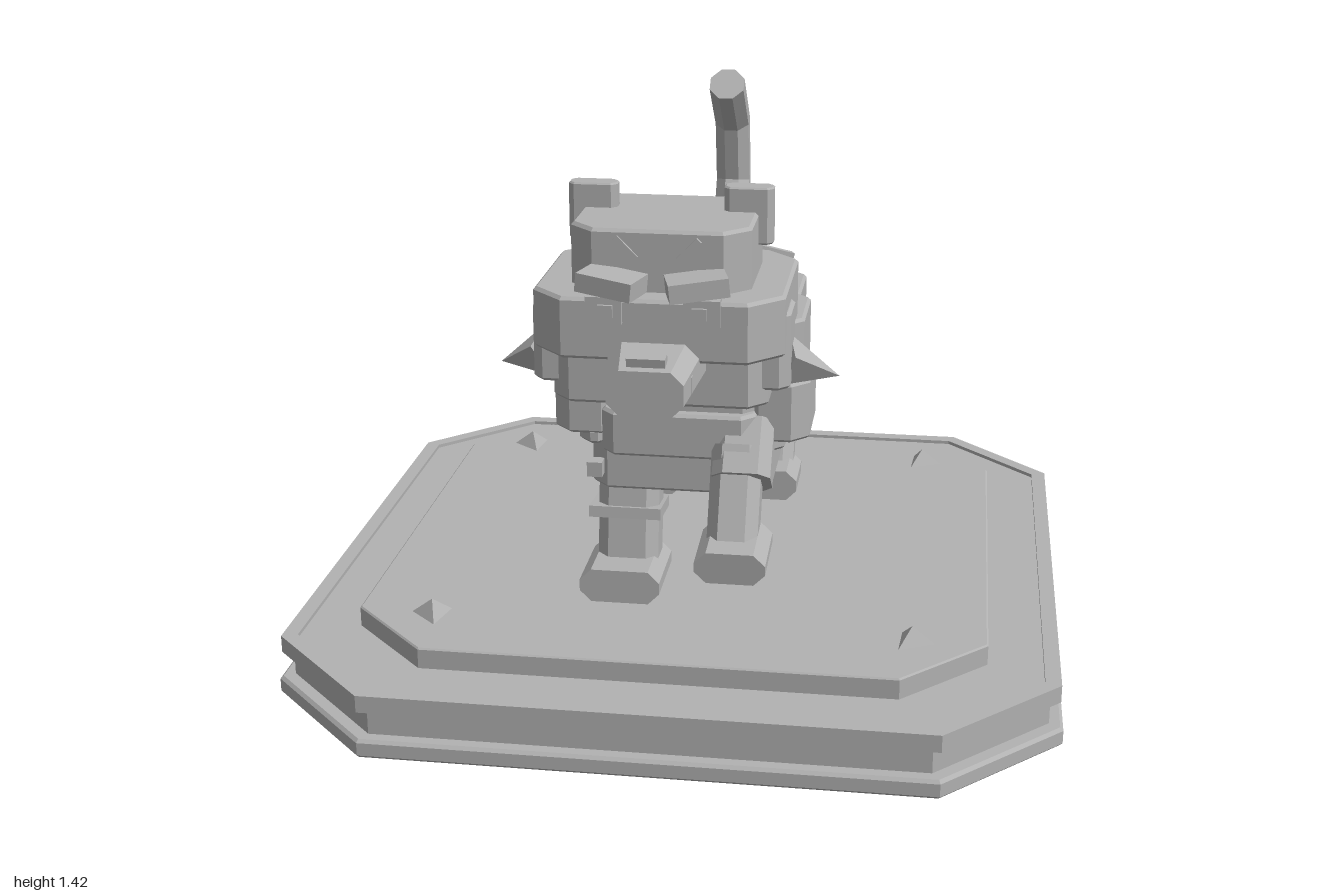
import * as THREE from 'three';

const stone = new THREE.MeshStandardMaterial({ color: 0xb2b2b2, flatShading: true });
stone.name = 'stone grey';

// Corners of a rectangle with cut corners, counter-clockwise
const octagon = (w, h, c) => {
  const x = w / 2, y = h / 2;
  return [[x, c - y], [x, y - c], [x - c, y], [c - x, y], [-x, y - c], [-x, c - y], [c - x, -y], [x - c, -y]];
};
const octShape = (w, h, c) => new THREE.Shape(octagon(w, h, c).map(p => new THREE.Vector2(...p)));

export function createModel() {
  const model = new THREE.Group();
  model.name = 'armouredCatStatue';

  const add = (name, geo, pos = [0, 0, 0], rot = [0, 0, 0]) => {
    const m = new THREE.Mesh(geo, stone);
    m.name = name;
    m.position.set(...pos);
    m.rotation.set(...rot);
    model.add(m);
    return m;
  };
  // Upright block with cut corners and a small bevel
  const block = (name, x0, x1, y0, y1, z0, z1, c = 0.03, b = 0.008) => {
    const geo = new THREE.ExtrudeGeometry(octShape(x1 - x0 - 2 * b, z1 - z0 - 2 * b, c), {
      depth: y1 - y0 - 2 * b, bevelEnabled: b > 0, bevelSize: b, bevelThickness: b, bevelSegments: 1,
    });
    geo.rotateX(-Math.PI / 2);
    return add(name, geo, [(x0 + x1) / 2, y0 + b, (z0 + z1) / 2]);
  };
  const box = (name, size, pos, rot) => add(name, new THREE.BoxGeometry(...size), pos, rot);
  // Eight-sided bar between two [y, z] points
  const bar = (name, x, [ya, za], [yb, zb], w, h, c = 0.03) => {
    const geo = new THREE.ExtrudeGeometry(octShape(w, h, c), { depth: Math.hypot(yb - ya, zb - za), bevelEnabled: false });
    return add(name, geo, [x, ya, za], [-Math.atan2(yb - ya, zb - za), 0, 0]);
  };
  // Solid through eight-sided rings [y, z, width, height, corner cut, pitch]
  const loft = (name, rings) => {
    const pos = [], idx = [], n = 8;
    rings.forEach(([y, z, w, h, c, a = 0]) => octagon(w, h, c).forEach(([px, py]) =>
      pos.push(px, y + py * Math.cos(a), z - py * Math.sin(a))));
    for (let r = 0; r < rings.length - 1; r++) for (let i = 0; i < n; i++) {
      const a = r * n + i, b = r * n + (i + 1) % n;
      idx.push(a, b, b + n, a, b + n, a + n);
    }
    const e = (rings.length - 1) * n;
    for (let i = 1; i < n - 1; i++) idx.push(0, i + 1, i, e, e + i, e + i + 1);
    const geo = new THREE.BufferGeometry();
    geo.setAttribute('position', new THREE.Float32BufferAttribute(pos, 3));
    geo.setIndex(idx);
    geo.computeVertexNormals();
    return add(name, geo);
  };

  // Plinth
  block('plinthFoot', -1, 1, 0, 0.05, -1, 1, 0.29);
  block('plinthCore', -0.965, 0.965, 0.05, 0.155, -0.965, 0.965, 0.28, 0);
  const rim = octShape(1.98, 1.98, 0.285);
  rim.holes.push(new THREE.Path(octagon(1.9, 1.9, 0.26).map(p => new THREE.Vector2(...p)).reverse()));
  add('plinthRim', new THREE.ExtrudeGeometry(rim, { depth: 0.045, bevelEnabled: false }).rotateX(-Math.PI / 2), [0, 0.12, 0]);
  block('plinthTop', -0.81, 0.81, 0.15, 0.21, -0.81, 0.81, 0.21, 0.004);
  [[-0.62, -0.62, 0.4], [0.61, -0.63, 1.5], [-0.61, 0.62, 2.4], [0.62, 0.61, 3.6]].forEach(([x, z, r]) =>
    add('cornerSpike', new THREE.ConeGeometry(0.065, 0.05, 3), [x, 0.23, z], [0, r, 0]));

  // Trunk
  loft('pelvis', [[0.80, -0.47, 0.34, 0.32, 0.07], [0.79, -0.2, 0.24, 0.28, 0.06]]);
  loft('torso', [[0.81, -0.22, 0.25, 0.27, 0.05], [0.81, -0.1, 0.28, 0.34, 0.06], [0.83, 0.21, 0.38, 0.39, 0.08]]);
  block('belly', -0.12, 0.12, 0.62, 0.68, -0.19, 0.05, 0.02);
  block('chest', -0.235, 0.235, 0.49, 0.72, 0.03, 0.385, 0.04);
  block('breastplate', -0.2, 0.2, 0.6, 0.72, 0.3, 0.43, 0.03);
  block('neck', -0.2, 0.2, 0.7, 0.9, 0.15, 0.4, 0.03);
  block('nape', -0.17, 0.17, 0.85, 1.02, 0.2, 0.4, 0.03);

  // Tail
  block('tailBase', -0.075, 0.075, 0.75, 0.93, -0.56, -0.44, 0.02);
  const tail = [[0.86, -0.53], [0.885, -0.665], [1.06, -0.77], [1.25, -0.735], [1.385, -0.59]];
  loft('tail', tail.map(([y, z], i) => {
    const p = tail[Math.max(i - 1, 0)], q = tail[Math.min(i + 1, tail.length - 1)];
    return [y, z, 0.1, 0.1, 0.03, Math.atan2(q[0] - p[0], q[1] - p[1])];
  }));

  // Head
  block('skull', -0.215, 0.215, 1.1, 1.28, 0.365, 0.725, 0.055);
  block('browBand', -0.3, 0.3, 0.98, 1.13, 0.3, 0.79, 0.075);
  block('jaw', -0.26, 0.26, 0.85, 0.99, 0.38, 0.73, 0.04);
  loft('muzzle', [[0.98, 0.7, 0.24, 0.13, 0.035], [0.945, 0.92, 0.18, 0.11, 0.03]]);
  loft('muzzleTip', [[0.96, 0.74, 0.21, 0.14, 0.045], [0.95, 0.86, 0.2, 0.12, 0.04]]);
  box('nose', [0.09, 0.035, 0.035], [0, 1.01, 0.885], [0.15, 0, 0]);

  for (const s of [-1, 1]) {
    const span = (a, b) => s > 0 ? [a, b] : [-b, -a];

    // Face details
    block('ear', ...span(0.13, 0.25), 1.2, 1.34, 0.47, 0.525, 0.012, 0.004);
    block('cheekPlate', ...span(0.22, 0.31), 0.89, 1.08, 0.54, 0.7, 0.02);
    const spike = add('cheekSpike', new THREE.ConeGeometry(0.065, 0.15, 4), [s * 0.355, 0.915, 0.585]);
    spike.quaternion.setFromUnitVectors(new THREE.Vector3(0, 1, 0), new THREE.Vector3(s * 0.85, -0.35, -0.35).normalize());
    box('brow', [0.14, 0.045, 0.1], [s * 0.1, 1.165, 0.775], [0, s * 0.25, s * 0.1]);
    box('eyeSocket', [0.085, 0.065, 0.04], [s * 0.115, 1.105, 0.785]);
    box('eye', [0.035, 0.03, 0.01], [s * 0.11, 1.105, 0.808]);
    box('foreheadMark', [0.07, 0.016, 0.012], [s * 0.075, 1.235, 0.726], [0, 0, s * 0.8]);

    // Shoulder and hip armour
    block('upperShoulder', ...span(0.16, 0.316), 0.78, 0.965, 0.115, 0.385, 0.035);
    block('lowerShoulder', ...span(0.16, 0.333), 0.64, 0.8, 0.11, 0.385, 0.04);
    block('shoulderUnderside', ...span(0.18, 0.27), 0.61, 0.65, 0.17, 0.38, 0.03);
    block('upperHip', ...span(0.11, 0.255), 0.7, 0.855, -0.49, -0.205, 0.035);
    block('lowerHip', ...span(0.1, 0.267), 0.53, 0.705, -0.505, -0.195, 0.04);

    // Raised stripes along the back and flanks
    box('rumpStripe', [0.21, 0.03, 0.04], [s * 0.12, 0.95, -0.36], [-0.1, s * 0.32, -s * 0.25]);
    box('backMark', [0.065, 0.025, 0.045], [s * 0.048, 0.972, -0.085], [0.15, s * 0.3, 0]);
    add('witherStud', new THREE.ConeGeometry(0.025, 0.04, 4), [s * 0.03, 1.02, 0.17], [0.3, 0, 0]);
    box('flankStripe', [0.03, 0.36, 0.035], [s * 0.16, 0.81, -0.12], [0.3, 0, s * 0.18]);
    box('hipStripe', [0.03, 0.2, 0.035], [s * 0.17, 0.84, -0.18], [0.25, 0, s * 0.3]);
    const fin = add('shoulderFin', new THREE.ConeGeometry(0.03, 0.14, 3), [s * 0.19, 0.83, 0.09]);
    fin.rotation.x = -Math.PI / 2;

    // Hind leg
    bar('hindThigh', s * 0.17, [0.58, -0.41], [0.42, -0.5], 0.13, 0.11);
    bar('hindShin', s * 0.17, [0.47, -0.5], [0.25, -0.39], 0.12, 0.1);
    bar('hock', s * 0.17, [0.43, -0.53], [0.45, -0.43], 0.14, 0.09);
    box('hockBand', [0.17, 0.035, 0.13], [s * 0.17, 0.42, -0.485], [-0.25, 0, 0]);
    bar('hindPaw', s * 0.17, [0.255, -0.44], [0.255, -0.27], 0.16, 0.09);
  }

  // Standing foreleg on the right
  bar('standingForeleg', -0.14, [0.55, 0.295], [0.25, 0.34], 0.16, 0.13);
  box('forelegBand', [0.19, 0.03, 0.15], [-0.145, 0.415, 0.315], [-0.12, 0, 0]);
  box('forelegStud', [0.04, 0.04, 0.04], [-0.22, 0.55, 0.39]);
  bar('standingPaw', -0.145, [0.255, 0.27], [0.255, 0.485], 0.21, 0.09);

  // Raised foreleg on the left
  bar('raisedUpperLeg', 0.17, [0.67, 0.34], [0.55, 0.44], 0.15, 0.14);
  bar('raisedForeleg', 0.155, [0.63, 0.395], [0.38, 0.515], 0.13, 0.12);
  bar('raisedPaw', 0.16, [0.4, 0.44], [0.385, 0.62], 0.18, 0.085);

  return model;
}
